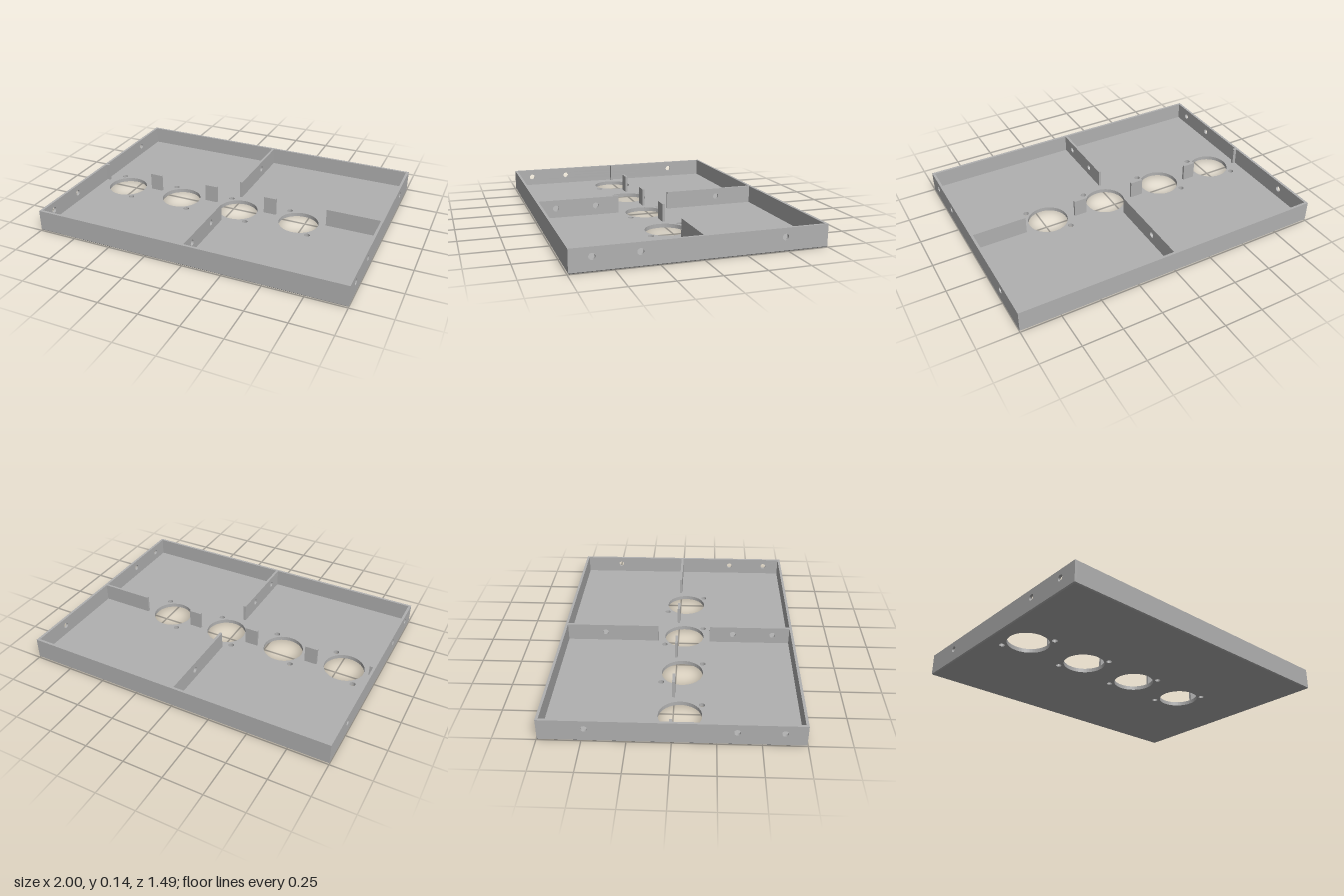
import * as THREE from 'three';

const HX = 1, HZ = 0.745, H = 0.138;   // half width, half depth, height
const T = 0.016, FLOOR = 0.025, CHAMFER = 0.006;
const SIDE_HOLES = [0.62, 0.36, -0.48]; // z positions of the wall holes

function addHole(shape, x, y, r, segments) {
  const pts = [];
  for (let i = 0; i < segments; i++) {
    const a = -i / segments * Math.PI * 2;
    pts.push(new THREE.Vector2(x + r * Math.cos(a), y + r * Math.sin(a)));
  }
  shape.holes.push(new THREE.Path(pts));
}

function rectangle(x0, y0, x1, y1) {
  return new THREE.Shape([[x0, y0], [x1, y0], [x1, y1], [x0, y1]].map(p => new THREE.Vector2(...p)));
}

export function createModel() {
  const group = new THREE.Group();
  const grey = new THREE.MeshStandardMaterial({ color: 0xb0b0b0 });

  function add(name, geometry) {
    const mesh = new THREE.Mesh(geometry, grey);
    mesh.name = name;
    group.add(mesh);
  }

  function box(name, x0, x1, y0, y1, z0, z1) {
    const g = new THREE.BoxGeometry(x1 - x0, y1 - y0, z1 - z0);
    g.translate((x0 + x1) / 2, (y0 + y1) / 2, (z0 + z1) / 2);
    add(name, g);
  }

  // Wall running along z, pierced by the round holes that fall on it
  function piercedWall(name, x, z0, z1, y0) {
    const shape = rectangle(-z1, y0, -z0, H);
    for (const z of SIDE_HOLES) {
      if (z > z0 && z < z1) addHole(shape, -z, 0.085, 0.019, 24);
    }
    const g = new THREE.ExtrudeGeometry(shape, { depth: T, bevelEnabled: false });
    g.translate(0, 0, -T / 2);
    g.rotateY(Math.PI / 2);
    g.translate(x, 0, 0);
    add(name, g);
  }

  // Floor with four large openings, each with two screw holes
  const floor = rectangle(-HX, -HZ, HX, HZ);
  for (const x of [-0.79, -0.37, 0.05, 0.47]) {
    addHole(floor, x, -0.04, 0.128, 48);
    addHole(floor, x - 0.102, 0.086, 0.018, 20);
    addHole(floor, x + 0.1, -0.165, 0.018, 20);
  }
  const floorGeometry = new THREE.ExtrudeGeometry(floor, { depth: FLOOR, steps: 2, bevelEnabled: false });
  floorGeometry.rotateX(-Math.PI / 2);
  // Lower the middle layer and pull in the bottom edge to form a chamfer
  const p = floorGeometry.attributes.position;
  for (let i = 0; i < p.count; i++) {
    const y = p.getY(i);
    if (Math.abs(y - FLOOR / 2) < 1e-4) p.setY(i, CHAMFER);
    if (y < 1e-4) {
      if (Math.abs(p.getX(i)) > HX - 1e-4) p.setX(i, Math.sign(p.getX(i)) * (HX - CHAMFER));
      if (Math.abs(p.getZ(i)) > HZ - 1e-4) p.setZ(i, Math.sign(p.getZ(i)) * (HZ - CHAMFER));
    }
  }
  floorGeometry.computeVertexNormals();
  add('floor', floorGeometry);

  // Outer walls
  piercedWall('leftWall', HX - T / 2, -HZ, HZ, FLOOR);
  piercedWall('rightWall', -HX + T / 2, -HZ, HZ, FLOOR);
  box('frontWall', -HX + T, HX - T, FLOOR, H, HZ - T, HZ);
  box('backWall', -HX + T, HX - T, FLOOR, H, -HZ, -HZ + T);

  // Centre ribs, interrupted around the openings
  piercedWall('backRib', -0.002, -HZ + T, -0.13, FLOOR);
  piercedWall('frontRib', -0.002, 0.208, HZ - T, FLOOR);

  // Cross rib segments between the openings
  const segments = [[-HX + T, -0.962], [-0.622, -0.54], [-0.205, -0.12], [0.217, 0.3], [0.64, HX - T]];
  for (const [x0, x1] of segments) {
    box('crossRib', x0, x1, FLOOR, H, -0.004 - T / 2, -0.004 + T / 2);
  }
  return group;
}
